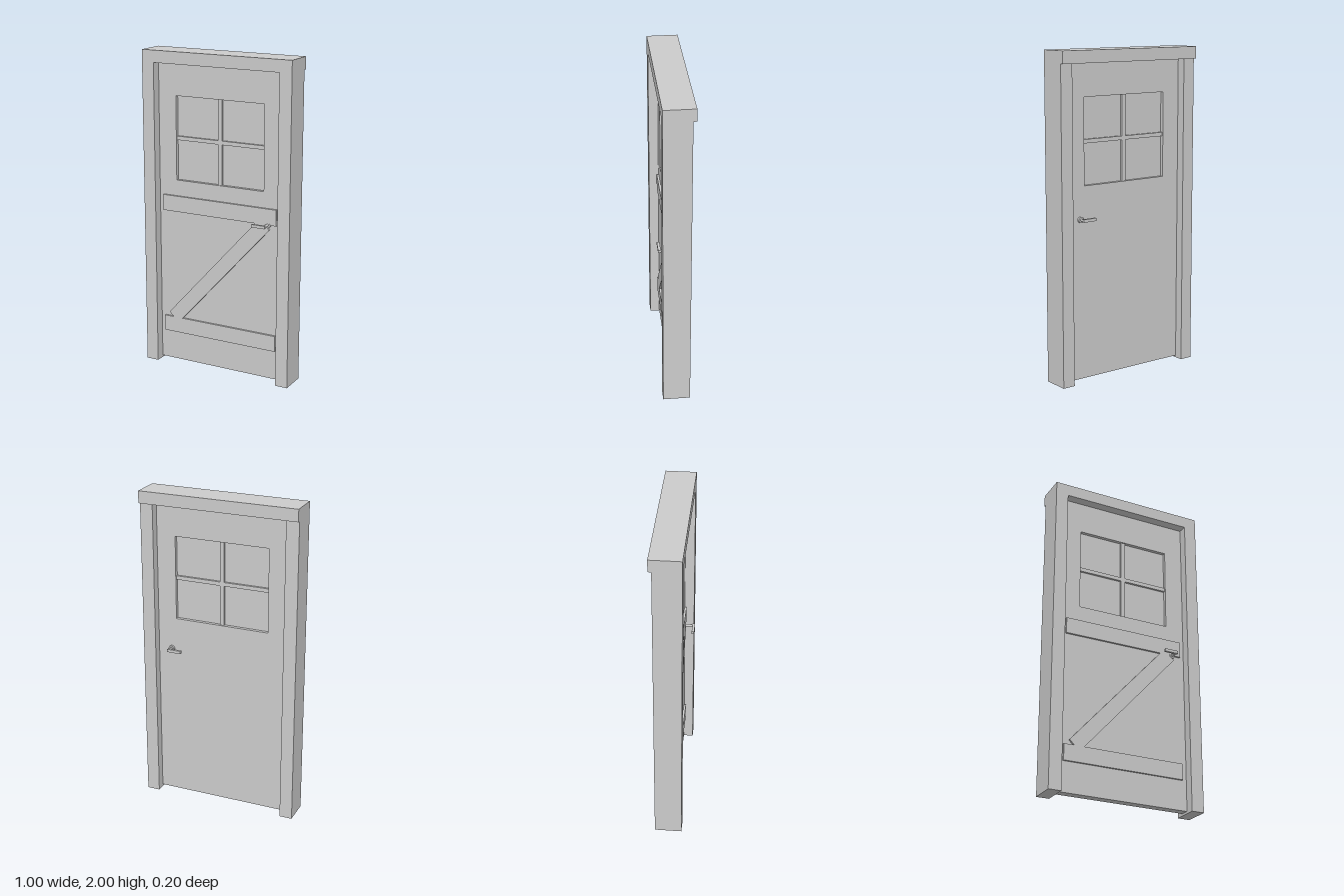
import * as THREE from 'three';

const material = new THREE.MeshStandardMaterial({ color: 0xcccccc, flatShading: true });
const smooth = new THREE.MeshStandardMaterial({ color: 0xcccccc });

// Box given by its limits on each axis
function box(name, [x0, x1], [y0, y1], [z0, z1]) {
  const mesh = new THREE.Mesh(new THREE.BoxGeometry(x1 - x0, y1 - y0, z1 - z0), material);
  mesh.position.set((x0 + x1) / 2, (y0 + y1) / 2, (z0 + z1) / 2);
  mesh.name = name;
  return mesh;
}

// Flat outline extruded between two depths
function slab(name, shape, z0, z1) {
  const geometry = new THREE.ExtrudeGeometry(shape, { depth: z1 - z0, bevelEnabled: false });
  const mesh = new THREE.Mesh(geometry, material);
  mesh.position.z = z0;
  mesh.name = name;
  return mesh;
}

const outline = (points) => new THREE.Shape(points.map(([x, y]) => new THREE.Vector2(x, y)));
const rect = (x0, x1, y0, y1) => outline([[x0, y0], [x1, y0], [x1, y1], [x0, y1]]);

// Round part whose axis runs along z
function disc(name, radius, z0, z1) {
  const mesh = new THREE.Mesh(new THREE.CylinderGeometry(radius, radius, z1 - z0, 24), smooth);
  mesh.rotation.x = Math.PI / 2;
  mesh.position.z = (z0 + z1) / 2;
  mesh.name = name;
  return mesh;
}

// Rose, neck and lever; side is 1 for the front and -1 for the back
function handle(name, faceZ, reach, side) {
  const group = new THREE.Group();
  const range = (a, b) => (side > 0 ? [a, b] : [-b, -a]);
  group.add(
    disc('rose', 0.018, ...range(0, 0.014)),
    disc('neck', 0.008, ...range(0.01, reach - 0.008)),
    box('lever', [-0.08, 0.009], [-0.009, 0.009], range(reach - 0.016, reach)),
  );
  group.position.set(0.333, 1.0, faceZ);
  group.name = name;
  return group;
}

export function createModel() {
  const model = new THREE.Group();
  model.name = 'door';
  const front = 0.028, back = -0.026, boardFront = 0.041;

  // Frame: two jambs and a lintel that overhangs at the back
  const frame = new THREE.Group();
  frame.name = 'frame';
  frame.add(
    box('rightJamb', [-0.5, -0.42], [0, 1.925], [-0.08, 0.087]),
    box('leftJamb', [0.42, 0.5], [0, 1.925], [-0.08, 0.087]),
    box('lintel', [-0.5, 0.5], [1.925, 2], [-0.1, 0.087]),
  );
  model.add(frame);

  // Door leaf with the window opening
  const leaf = rect(-0.42, 0.42, 0.013, 1.925);
  leaf.holes.push(rect(-0.3, 0.3, 1.2, 1.725));
  model.add(slab('leaf', leaf, back, front));

  // Window pane and crossing glazing bars
  const windowGroup = new THREE.Group();
  windowGroup.name = 'window';
  windowGroup.add(
    box('pane', [-0.3, 0.3], [1.2, 1.725], [-0.004, 0.006]),
    box('uprightBar', [-0.013, 0.013], [1.2, 1.725], [-0.018, 0.02]),
    box('crossBar', [-0.3, 0.3], [1.451, 1.475], [-0.018, 0.02]),
  );
  model.add(windowGroup);

  // Z-shaped boards on the front
  const boards = new THREE.Group();
  boards.name = 'boards';
  boards.add(
    box('upperBoard', [-0.39, 0.39], [1.0, 1.1], [front, boardFront]),
    box('lowerBoard', [-0.39, 0.39], [0.2, 0.3], [front, boardFront]),
    slab('brace', outline([
      [-0.355, 0.33], [-0.325, 0.3], [-0.26, 0.3], [0.345, 0.97], [0.315, 1.0], [0.25, 1.0],
    ]), front, boardFront),
  );
  model.add(boards);

  // Handles on both sides
  model.add(handle('frontHandle', front, 0.1 - front, 1));
  model.add(handle('backHandle', back, 0.079 + back, -1));
  return model;
}
